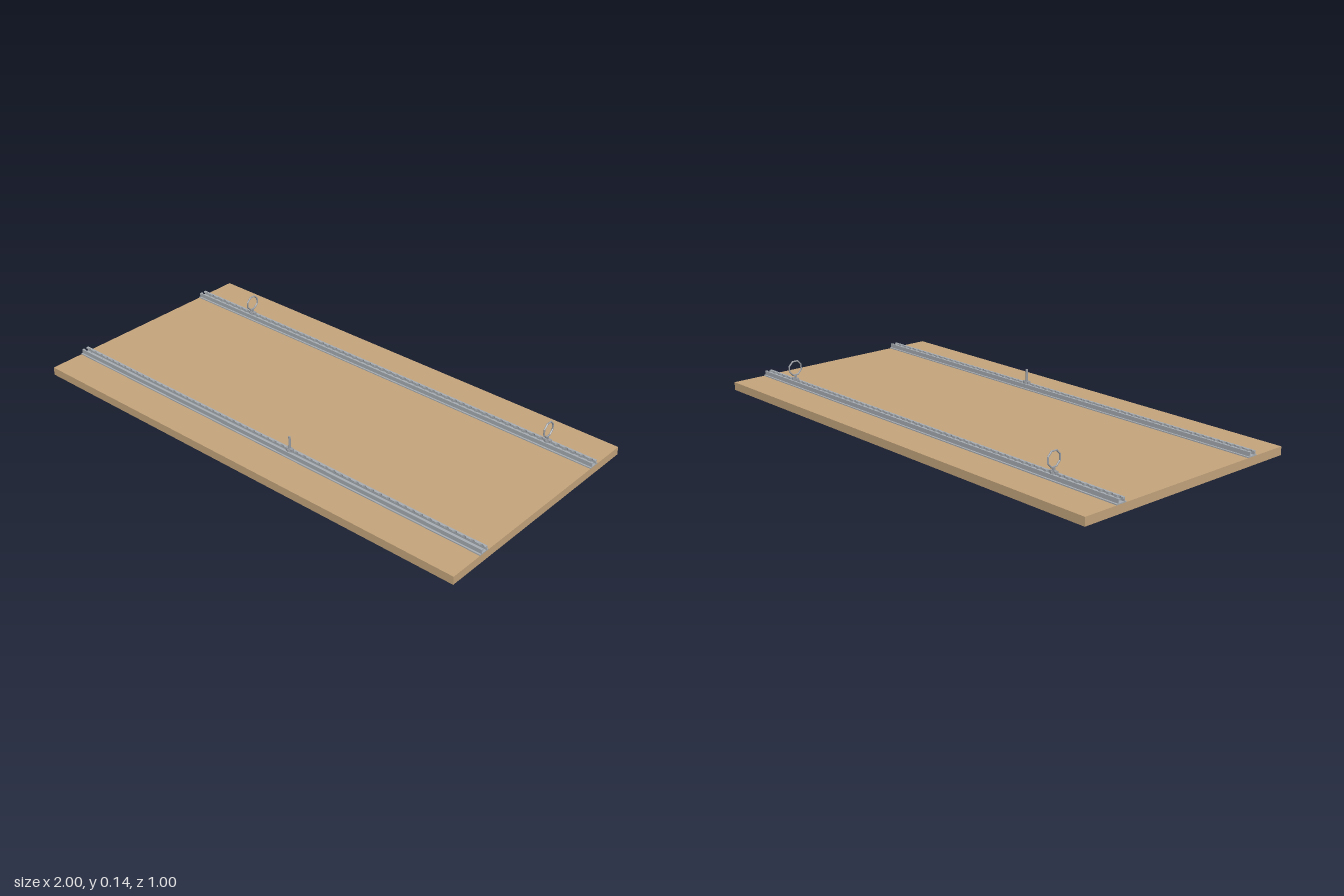
import * as THREE from 'three';

const BOARD_TOP = 0.033, RAIL_TOP = 0.053, RAIL_Z = 0.334;

export function createModel() {
  const wood = new THREE.MeshStandardMaterial({ color: 0xc4a47c });
  wood.name = 'wood';
  const aluminium = new THREE.MeshStandardMaterial({ color: 0xa6acb2 });
  aluminium.name = 'aluminium';
  const steel = new THREE.MeshStandardMaterial({ color: 0x9a9ea3, flatShading: true });
  steel.name = 'steel';

  const add = (parent, name, geometry, material, x = 0, y = 0, z = 0) => {
    const mesh = new THREE.Mesh(geometry, material);
    mesh.name = name;
    mesh.position.set(x, y, z);
    parent.add(mesh);
    return mesh;
  };

  // Upper lip of a rail: straight outside, a row of round cutouts inside
  const lipGeometry = (side) => {
    const count = 56, pitch = 2 / count, radius = 0.011, neck = 0.006;
    const start = Math.asin(neck / radius);
    const shape = new THREE.Shape();
    shape.moveTo(-1, side * 0.016);
    shape.lineTo(-1, side * neck);
    for (let i = 0; i < count; i++) {
      const cx = -1 + (i + 0.5) * pitch;
      for (let k = 0; k <= 6; k++) {
        const a = Math.PI - start - (k / 6) * (Math.PI - 2 * start);
        shape.lineTo(cx + radius * Math.cos(a), side * radius * Math.sin(a));
      }
    }
    shape.lineTo(1, side * neck);
    shape.lineTo(1, side * 0.016);
    shape.closePath();
    const geometry = new THREE.ExtrudeGeometry(shape, { depth: 0.006, bevelEnabled: false });
    return geometry.rotateX(-Math.PI / 2);
  };

  // Slotted rail with a flat flange, two walls and two lips
  const makeRail = (name, z) => {
    const rail = new THREE.Group();
    rail.name = name;
    rail.position.set(0, BOARD_TOP, z);
    add(rail, 'railFlange', new THREE.BoxGeometry(2, 0.004, 0.046), aluminium, 0, 0.002);
    for (const side of [-1, 1]) {
      add(rail, 'railWall', new THREE.BoxGeometry(2, 0.01, 0.004), aluminium, 0, 0.009, side * 0.014);
      add(rail, 'railLip', lipGeometry(side), aluminium, 0, 0.014);
    }
    return rail;
  };

  // Stud foot that locks into the rail slot
  const makeFitting = (name, x, z) => {
    const fitting = new THREE.Group();
    fitting.name = name;
    fitting.position.set(x, RAIL_TOP, z);
    add(fitting, 'foot', new THREE.BoxGeometry(0.03, 0.01, 0.014), steel, 0, 0.005);
    add(fitting, 'footCollar', new THREE.CylinderGeometry(0.012, 0.013, 0.008, 8), steel, 0, 0.004);
    add(fitting, 'lockStud', new THREE.CylinderGeometry(0.005, 0.005, 0.016, 8), steel, 0, -0.008);
    return fitting;
  };

  const model = new THREE.Group();
  model.name = 'railBoard';
  add(model, 'board', new THREE.BoxGeometry(2, BOARD_TOP, 1), wood, 0, BOARD_TOP / 2);
  model.add(makeRail('backRail', -RAIL_Z), makeRail('frontRail', RAIL_Z));

  // Two tie-down rings on the back rail
  for (const x of [-0.695, 0.8]) {
    const fitting = makeFitting('ringFitting', x, -RAIL_Z);
    const ring = new THREE.TorusGeometry(0.0305, 0.0035, 6, 8).rotateZ(Math.PI / 8).rotateY(Math.PI / 2);
    add(fitting, 'ring', ring, steel, 0, 0.051);
    add(fitting, 'ringEye', new THREE.BoxGeometry(0.007, 0.012, 0.008), steel, 0, 0.015);
    model.add(fitting);
  }

  // Upright pin on the front rail
  const pinFitting = makeFitting('pinFitting', 0.135, RAIL_Z);
  add(pinFitting, 'pin', new THREE.CylinderGeometry(0.0045, 0.0045, 0.051, 8), steel, 0, 0.0335);
  model.add(pinFitting);

  return model;
}
